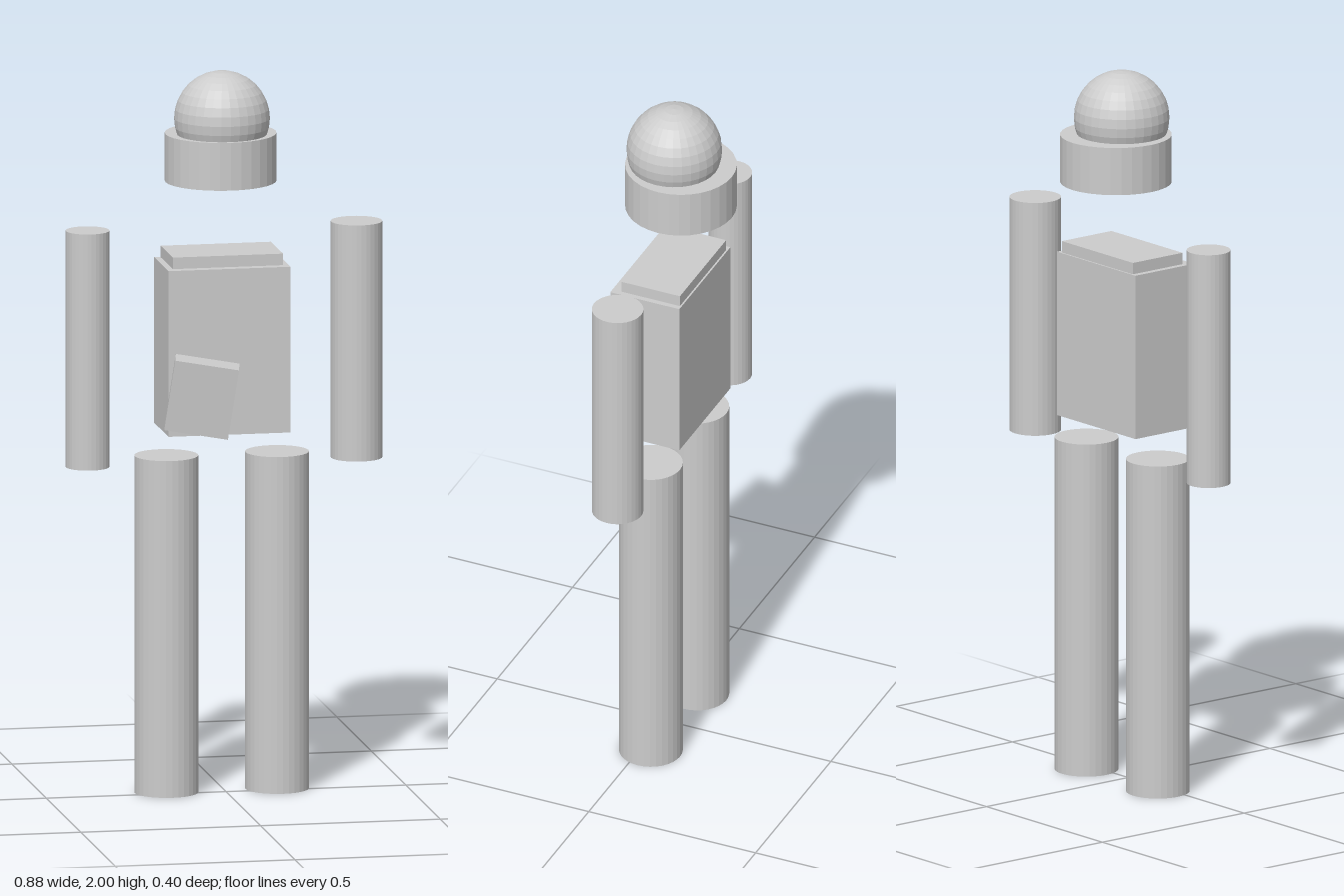
import * as THREE from 'three';

export function createModel() {
  const model = new THREE.Group();
  const grey = new THREE.MeshStandardMaterial({ color: 0xcccccc, flatShading: true });
  grey.name = 'light grey';

  const add = (name, geometry, x, y, z) => {
    const mesh = new THREE.Mesh(geometry, grey);
    mesh.name = name;
    mesh.position.set(x, y, z);
    model.add(mesh);
    return mesh;
  };
  // Upright cylinder and box given by their bottom and top heights
  const column = (name, r, x, z, y0, y1) =>
    add(name, new THREE.CylinderGeometry(r, r, y1 - y0, 32), x, (y0 + y1) / 2, z);
  const block = (name, x0, x1, y0, y1, z0, z1) =>
    add(name, new THREE.BoxGeometry(x1 - x0, y1 - y0, z1 - z0),
      (x0 + x1) / 2, (y0 + y1) / 2, (z0 + z1) / 2);

  // Head resting in a wide, slightly set-back ring
  add('head', new THREE.SphereGeometry(0.131, 32, 16), -0.006, 1.869, -0.028);
  column('headBase', 0.153, -0.006, -0.048, 1.692, 1.825);

  // Torso with a shoulder plate on top
  block('torso', -0.177, 0.162, 1.01, 1.471, -0.119, 0.088);
  block('shoulderPlate', -0.16, 0.147, 1.471, 1.503, -0.114, 0.061);

  // Tilted pouch on the front
  const pouch = add('pouch', new THREE.BoxGeometry(0.176, 0.2, 0.067), -0.094, 1.128, 0.139);
  pouch.rotation.set(0.093, -0.21, -0.134);

  // Arms (the left one is thicker) and legs
  column('rightArm', 0.06, -0.38, -0.027, 0.913, 1.57);
  column('leftArm', 0.0706, 0.368, -0.027, 0.913, 1.57);
  column('rightLeg', 0.0875, -0.161, -0.027, 0, 0.937);
  column('leftLeg', 0.0875, 0.147, -0.027, 0, 0.937);

  return model;
}
